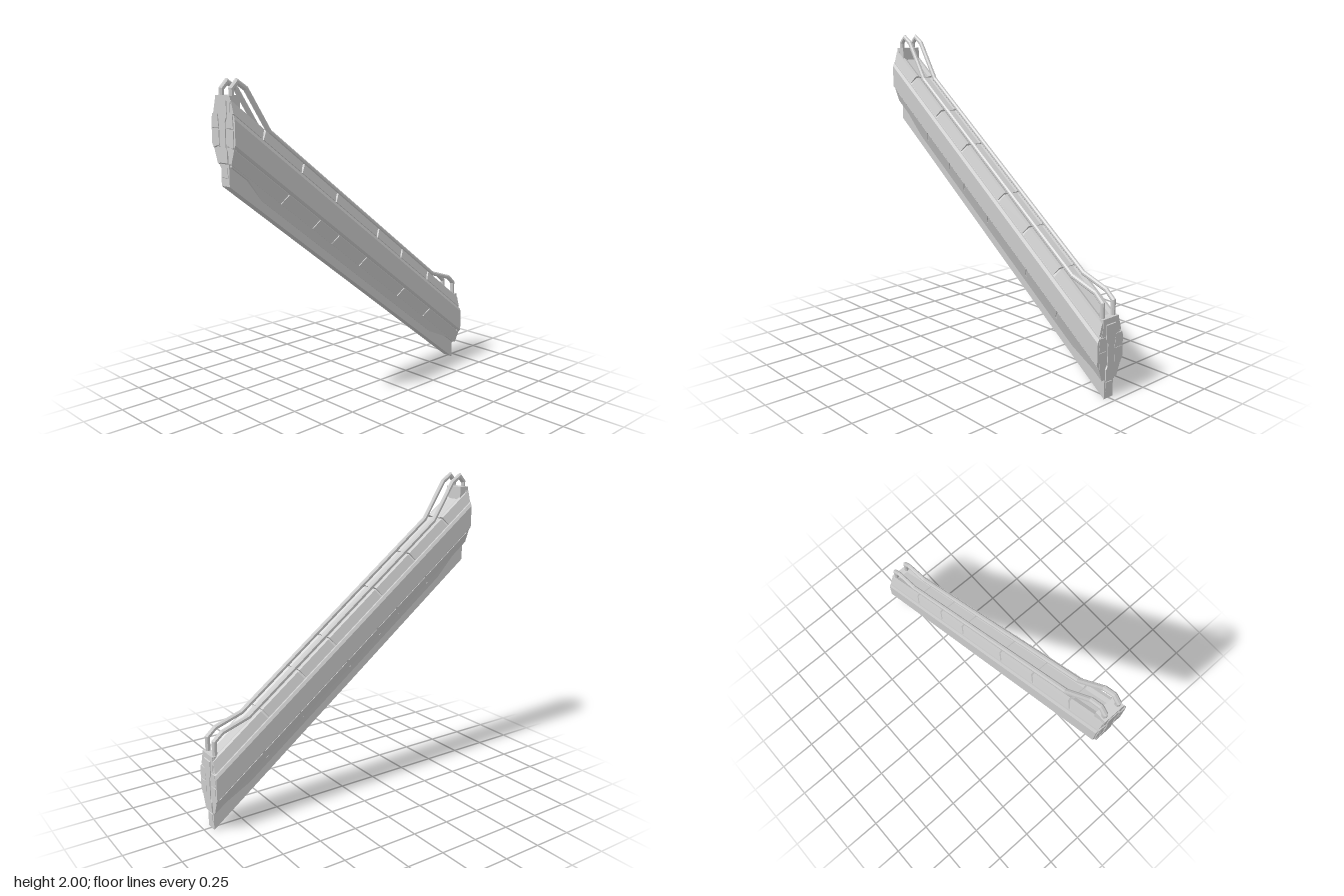
import * as THREE from 'three';

const SLOPE = 0.752;
const baseY = (x) => 0.714 - SLOPE * x; // underside of the sloping beam
const PERP = 0.48; // x shift per unit of height that makes a joint square to the slope

const material = new THREE.MeshStandardMaterial({ color: 0xcccccc, flatShading: true });

// Mirror a half section [z, height] into a closed outline
const mirror = (half) => [...half, ...half.map(([z, h]) => [-z, h]).reverse()];

// Sweep an outline along the slope; the ends may lean by k0 and k1 about height h0
function prism(outline, x0, x1, k0 = 0, k1 = 0, h0 = 0) {
  const shape = new THREE.Shape(outline.map(([z, h]) => new THREE.Vector2(z, h)));
  const geo = new THREE.ExtrudeGeometry(shape, { depth: 1, bevelEnabled: false });
  const p = geo.attributes.position;
  for (let i = 0; i < p.count; i++) {
    const z = p.getX(i), h = p.getY(i), t = p.getZ(i);
    const x = THREE.MathUtils.lerp(x0 + k0 * (h - h0), x1 + k1 * (h - h0), t);
    p.setXYZ(i, x, baseY(x) + h, -z);
  }
  geo.computeVertexNormals();
  return geo;
}

// Octagonal bar with mitred corners along a path in the xy plane
function bar(path, r, z) {
  const n = 8, pos = [], idx = [];
  const pts = path.map(([x, y]) => new THREE.Vector2(x, y));
  pts.forEach((pt, i) => {
    const a = pts[Math.max(i - 1, 0)], b = pts[Math.min(i + 1, pts.length - 1)];
    const d0 = (i ? pt.clone().sub(a) : b.clone().sub(pt)).normalize();
    const d1 = (i < pts.length - 1 ? b.clone().sub(pt) : d0.clone()).normalize();
    const t = d0.clone().add(d1).normalize();
    const m = r / t.dot(d0);
    for (let j = 0; j < n; j++) {
      const q = ((j + 0.5) / n) * Math.PI * 2;
      pos.push(pt.x - t.y * m * Math.cos(q), pt.y + t.x * m * Math.cos(q), z + r * Math.sin(q));
    }
  });
  for (let i = 0; i < pts.length - 1; i++) {
    for (let j = 0; j < n; j++) {
      const a = i * n + j, b = i * n + ((j + 1) % n);
      idx.push(a, b, a + n, b, b + n, a + n);
    }
  }
  const geo = new THREE.BufferGeometry();
  geo.setAttribute('position', new THREE.Float32BufferAttribute(pos, 3));
  geo.setIndex(idx);
  geo.computeVertexNormals();
  return geo;
}

export function createModel() {
  const model = new THREE.Group();
  model.name = 'slopingRailing';
  const add = (name, geo, parent = model) => {
    const mesh = new THREE.Mesh(geo, material);
    mesh.name = name;
    parent.add(mesh);
    return mesh;
  };
  const group = (name) => {
    const g = new THREE.Group();
    g.name = name;
    model.add(g);
    return g;
  };

  // Inner core, recessed behind the plates
  add('core', prism(mirror([[0.055, 0.11], [0.084, 0.2], [0.088, 0.38], [0.06, 0.442]]), -0.945, 0.945));

  // Bottom fin and its raised side plates with tapered ends
  add('bottomFin', prism(mirror([[0.037, 0], [0.037, 0.125]]), -0.95, 0.95));
  add('finPlate', prism(mirror([[0.04, 0.06], [0.061, 0.12]]), -0.74, 0.7, -2, 3.3, 0.06));

  // Broad central panel wrapping both sides
  add('centralPanel', prism(mirror([[0.096, 0.208], [0.107, 0.222], [0.107, 0.358], [0.097, 0.38]]), -0.955, 0.955));

  // Rows of plates separated by joints square to the slope
  function plateRow(name, half, h0, joints) {
    const row = group(name + 's'), gap = 0.006;
    const cuts = [-0.952, ...joints, 0.952];
    for (let i = 0; i < cuts.length - 1; i++) {
      const first = i === 0, last = i === cuts.length - 2;
      add(name, prism(mirror(half), cuts[i] + (first ? 0 : gap), cuts[i + 1] - (last ? 0 : gap),
        first ? 0 : PERP, last ? 0 : PERP, h0), row);
    }
  }
  plateRow('lowerPlate', [[0.063, 0.12], [0.092, 0.2]], 0.16, [-0.61, -0.38, -0.23, 0, 0.35, 0.61]);
  plateRow('upperPlate', [[0.093, 0.388], [0.073, 0.458], [0.056, 0.462], [0.034, 0.45]], 0.42,
    [-0.75, -0.48, -0.22, 0.13, 0.35, 0.61]);

  // Flat-topped end posts carrying the rails
  for (const [x, w, top] of [[-0.922, 0.066, 1.912], [0.932, 0.046, 0.48]]) {
    const post = add('endPost', new THREE.BoxGeometry(w, 0.13, 0.13));
    post.position.set(x, top - 0.065, 0);
  }

  // End caps: waisted centre strip, with pads on both sides
  for (const side of [-1, 1]) {
    const cap = group(side > 0 ? 'lowerEndCap' : 'upperEndCap');
    const a = side > 0 ? 0.94 : -0.96, b = a + 0.02;
    add('endFrame', prism(mirror([[0.063, 0.12], [0.092, 0.2], [0.095, 0.37], [0.07, 0.4], [0.068, 0.47]]),
      side > 0 ? 0.935 : -0.953, side > 0 ? 0.953 : -0.935), cap);
    add('centreStrip', prism(mirror([[0.036, 0.12], [0.036, 0.185], [0.024, 0.205], [0.024, 0.34],
      [0.038, 0.365], [0.038, 0.45]]), a, b), cap);
    for (const s of [-1, 1]) {
      const flip = (o) => (s > 0 ? o : o.map(([z, h]) => [-z, h]).reverse());
      add('lowerPad', prism(flip([[0.036, 0.215], [0.09, 0.2], [0.096, 0.295], [0.036, 0.295]]), a, b - side * 0.003), cap);
      add('upperPad', prism(flip([[0.036, 0.305], [0.096, 0.305], [0.09, 0.38], [0.045, 0.38]]), a, b - side * 0.003), cap);
    }
    add('finEndPlate', prism(mirror([[0.026, 0.045], [0.026, 0.1]]), side > 0 ? 0.945 : -0.953, side > 0 ? 0.953 : -0.945), cap);
  }

  // Twin handrails with bent ends
  const path = [[-0.928, 1.88], [-0.928, 1.945], [-0.893, 1.982], [-0.835, 1.945], [-0.685, 1.71],
    [0.7, 0.67], [0.875, 0.612], [0.928, 0.565], [0.928, 0.45]];
  for (const z of [-0.045, 0.045]) add('handrail', bar(path, 0.015, z));

  return model;
}
